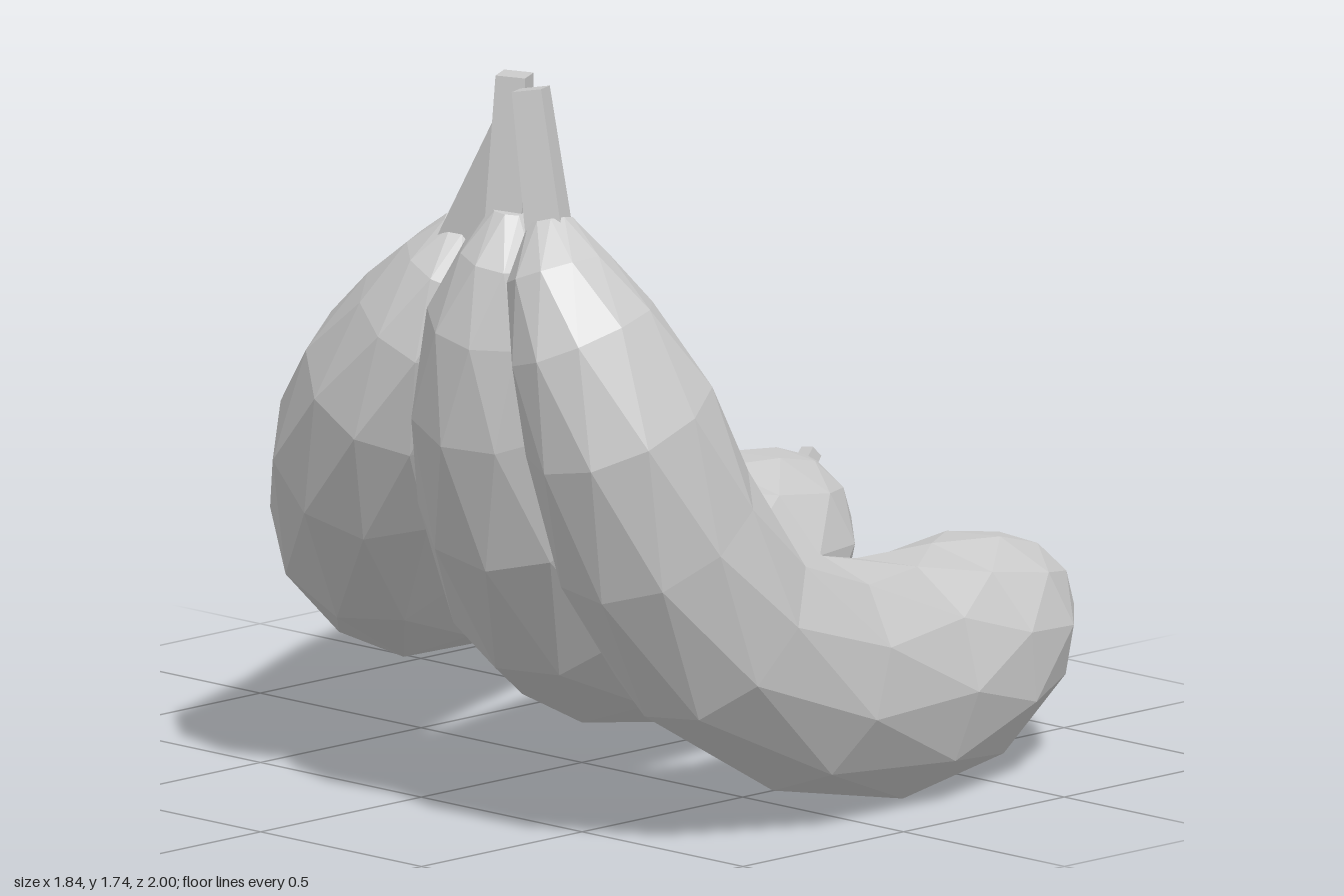
import * as THREE from 'three';

const material = new THREE.MeshStandardMaterial({ color: 0xcccccc, flatShading: true, roughness: 0.8 });
const SIDES = 10;

// Radii shared by all fruits, stem end to tip: [in the plane of the bend, across it]
const RADII = [
  [0.055, 0.05], [0.13, 0.11], [0.19, 0.16], [0.237, 0.205], [0.252, 0.23], [0.258, 0.24],
  [0.262, 0.25], [0.268, 0.257], [0.257, 0.255], [0.212, 0.217], [0.138, 0.148], [0.045, 0.05],
];

// Each fruit: heading of the bend (degrees), centre line, stem ends, tip end
const FRUITS = [
  {
    name: 'frontBanana', heading: 13,
    line: [[-0.735, 1.44, 0.635], [-0.745, 1.34, 0.67], [-0.73, 1.2, 0.73], [-0.665, 1, 0.78],
      [-0.55, 0.74, 0.775], [-0.365, 0.5, 0.765], [-0.075, 0.335, 0.74], [0.25, 0.262, 0.675],
      [0.5, 0.265, 0.61], [0.7, 0.315, 0.56], [0.815, 0.36, 0.52], [0.88, 0.39, 0.485]],
    stem: [[-0.74, 1.4, 0.64], [-0.74, 1.73, 0.58]], tip: [0.91, 0.415, 0.465],
  },
  {
    name: 'middleBanana', heading: 22,
    line: [[-0.7, 1.44, 0.49], [-0.7, 1.34, 0.48], [-0.69, 1.2, 0.44], [-0.635, 1, 0.395],
      [-0.53, 0.76, 0.345], [-0.345, 0.535, 0.255], [-0.075, 0.395, 0.12], [0.25, 0.33, 0.01],
      [0.5, 0.335, -0.06], [0.7, 0.393, -0.13], [0.815, 0.457, -0.17], [0.88, 0.505, -0.19]],
    stem: [[-0.7, 1.4, 0.47], [-0.69, 1.74, 0.48]], tip: [0.91, 0.535, -0.195],
  },
  {
    name: 'backBanana', heading: 36,
    line: [[-0.56, 1.34, 0.2], [-0.565, 1.25, 0.165], [-0.575, 1.12, 0.095], [-0.56, 0.96, -0.02],
      [-0.495, 0.78, -0.145], [-0.31, 0.57, -0.32], [-0.03, 0.44, -0.51], [0.27, 0.4, -0.665],
      [0.5, 0.42, -0.745], [0.7, 0.49, -0.79], [0.815, 0.56, -0.83], [0.88, 0.615, -0.845]],
    stem: [[-0.575, 1.3, 0.19], [-0.56, 1.59, 0.34]], tip: [0.91, 0.645, -0.855],
  },
];

const vec = (p) => new THREE.Vector3(...p);

// Faceted skin lofted through elliptical rings; every other ring is turned half a step
function fruitGeometry({ line, heading }) {
  const pts = line.map(vec);
  const a = THREE.MathUtils.degToRad(heading);
  const across = new THREE.Vector3(Math.sin(a), 0, Math.cos(a));
  const pos = [], index = [], last = pts.length - 1;

  pts.forEach((p, i) => {
    const t = pts[Math.min(i + 1, last)].clone().sub(pts[Math.max(i - 1, 0)]).normalize();
    const n = across.clone().addScaledVector(t, -across.dot(t)).normalize();
    const b = n.clone().cross(t);
    for (let j = 0; j < SIDES; j++) {
      const w = ((j + (i % 2) / 2) / SIDES) * Math.PI * 2;
      const v = p.clone().addScaledVector(b, Math.cos(w) * RADII[i][0] * 1.01)
        .addScaledVector(n, Math.sin(w) * RADII[i][1] * 1.01);
      pos.push(v.x, v.y, v.z);
    }
  });

  for (let i = 0; i < last; i++) {
    for (let j = 0; j < SIDES; j++) {
      const k = (j + 1) % SIDES;
      const p = i * SIDES + j, q = i * SIDES + k;
      const r = p + SIDES, s = q + SIDES;
      if (i % 2) index.push(p, s, r, p, q, s);
      else index.push(p, q, r, q, s, r);
    }
  }

  // End caps
  const end = last * SIDES;
  for (let j = 1; j < SIDES - 1; j++) index.push(0, j + 1, j, end, end + j, end + j + 1);

  const geo = new THREE.BufferGeometry();
  geo.setAttribute('position', new THREE.Float32BufferAttribute(pos, 3));
  geo.setIndex(index);
  const flat = geo.toNonIndexed();
  flat.computeVertexNormals();
  return flat;
}

// Tapered square rod between two points, turned about its own axis
function rod(name, from, to, r0, r1, turn) {
  const dir = to.clone().sub(from);
  const geo = new THREE.CylinderGeometry(r1, r0, dir.length(), 4).rotateY(turn);
  const mesh = new THREE.Mesh(geo, material);
  mesh.position.copy(from).addScaledVector(dir, 0.5);
  mesh.quaternion.setFromUnitVectors(new THREE.Vector3(0, 1, 0), dir.normalize());
  mesh.name = name;
  return mesh;
}

export function createModel() {
  const bunch = new THREE.Group();
  bunch.name = 'bananaBunch';
  for (const fruit of FRUITS) {
    const group = new THREE.Group();
    group.name = fruit.name;
    const body = new THREE.Mesh(fruitGeometry(fruit), material);
    body.name = 'fruit';
    group.add(
      body,
      rod('stem', vec(fruit.stem[0]), vec(fruit.stem[1]), 0.06, 0.048, Math.PI / 4 + 0.5),
      rod('blossomTip', vec(fruit.line[fruit.line.length - 1]), vec(fruit.tip), 0.026, 0.024, Math.PI / 4),
    );
    bunch.add(group);
  }
  return bunch;
}
